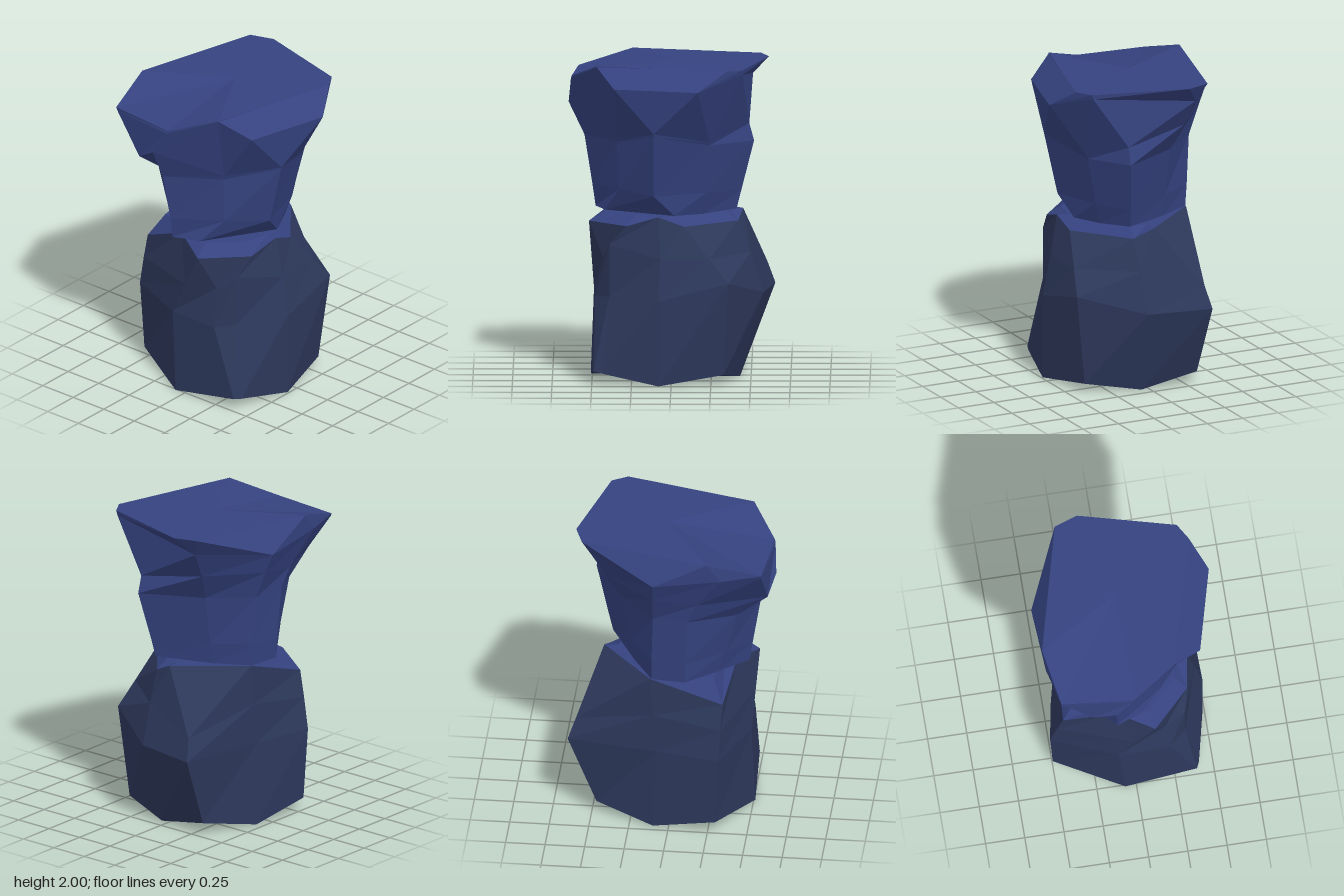
import * as THREE from 'three';

const upperStone = new THREE.MeshStandardMaterial({ color: 0x35427f });
upperStone.name = 'blue stone';
const lowerStone = new THREE.MeshStandardMaterial({ color: 0x2d385b });
lowerStone.name = 'slate stone';
upperStone.flatShading = lowerStone.flatShading = true;

// Faceted mesh from a list of corner points, three per face
function facets(name, points, material) {
  const geometry = new THREE.BufferGeometry();
  geometry.setAttribute('position', new THREE.Float32BufferAttribute(points.flat(), 3));
  geometry.computeVertexNormals();
  const mesh = new THREE.Mesh(geometry, material);
  mesh.name = name;
  return mesh;
}

// Joins successive rings (bottom to top, each running front, +x, back, -x)
function loft(rings) {
  const out = [];
  for (let r = 0; r < rings.length - 1; r++) {
    const a = rings[r], b = rings[r + 1];
    for (let i = 0; i < a.length; i++) {
      const j = (i + 1) % a.length;
      out.push(a[i], a[j], b[j], a[i], b[j], b[i]);
    }
  }
  return out;
}

// Closes a ring with a fan around a centre point
function fan(ring, centre, up) {
  return ring.flatMap((p, i) => {
    const q = ring[(i + 1) % ring.length];
    return up ? [p, q, centre] : [q, p, centre];
  });
}

export function createModel() {
  const group = new THREE.Group();
  group.name = 'rockPillar';

  // Lower boulder: chipped foot, bulging middle, recessed front corner, shoulder
  const lower = [
    [[-.07, 0, .51], [.39, .08, .49], [.41, .07, .44], [.49, 0, .08], [.4, .06, -.33],
      [.05, 0, -.43], [-.32, .08, -.47], [-.45, 0, -.1], [-.5, .08, .3]],
    [[-.11, .54, .49], [.22, .53, .48], [.33, .55, .39], [.49, .54, .08], [.47, .65, -.36],
      [.08, .54, -.58], [-.34, .54, -.65], [-.44, .54, -.08], [-.52, .54, .32]],
    [[0, .77, .505], [.2, .78, .43], [.33, .88, .39], [.44, .8, .07], [.43, .8, -.24],
      [.09, .8, -.5], [-.31, .68, -.6], [-.43, .8, -.1], [-.48, .74, .33]],
    [[-.11, 1.06, .4], [.12, 1, .52], [.36, 1, .28], [.39, 1.06, .08], [.38, 1, -.08],
      [.1, 1, -.42], [-.03, 1.06, -.45], [-.42, 1.06, -.12], [-.44, .91, .34]],
  ];
  const shoulder = lower[3];
  const ledge = shoulder.map(([x, , z]) => [x * .8, 1.06, z * .8]);
  group.add(facets('lowerBoulder',
    [...loft(lower), ...fan(lower[0], [0, 0, 0], false)], lowerStone));
  group.add(facets('lowerBoulderTop',
    [...loft([shoulder, ledge]), ...fan(ledge, [0, 1.06, 0], true)], upperStone));

  // Upper boulder: narrow waist with a notch under its front right corner
  const waist = [
    [[-.28, 1.06, .3], [-.12, 1.06, .48], [.05, 1.06, .42], [.32, 1.06, -.02], [.23, 1.06, -.2],
      [.12, 1.08, -.41], [-.2, 1.06, -.24], [-.42, 1.06, -.11], [-.44, 1.06, .1]],
    [[-.28, 1.2, .34], [-.12, 1.2, .5], [.18, 1.21, .33], [.37, 1.19, .11], [.27, 1.2, -.22],
      [.13, 1.2, -.44], [-.2, 1.2, -.26], [-.43, 1.2, -.11], [-.45, 1.2, .1]],
    [[-.285, 1.485, .42], [-.14, 1.51, .55], [.18, 1.51, .34], [.46, 1.58, .11], [.33, 1.51, -.24],
      [.17, 1.52, -.52], [-.21, 1.52, -.315], [-.45, 1.52, -.1], [-.47, 1.52, .12]],
  ];
  // Flared crown with a sloping front lip
  const crown = [
    [[-.285, 1.63, .61], [-.14, 1.72, .65], [.19, 1.54, .345], [.465, 1.6, .11], [.34, 1.53, -.24],
      [.17, 1.63, -.49], [-.26, 1.7, -.41], [-.52, 1.7, -.095], [-.49, 1.66, .18]],
    [[-.48, 1.88, .59], [-.04, 1.88, .635], [.25, 1.995, .47], [.43, 1.88, .36], [.57, 1.88, -.17],
      [.4, 1.97, -.45], [-.29, 1.88, -.51], [-.575, 1.83, -.09], [-.55, 1.88, .34]],
    [[-.49, 1.9, .59], [-.03, 1.9, .63], [.25, 2, .47], [.36, 2, .06], [.47, 2, -.35],
      [.41, 2, -.45], [-.2, 2, -.61], [-.35, 2, -.56], [-.56, 2, .25]],
  ];
  group.add(facets('upperBoulder', [
    ...loft([...waist, ...crown]),
    ...fan(waist[0], [0, 1.06, 0], false),
    ...fan(crown[2], [-.05, 2, -.05], true),
  ], upperStone));

  return group;
}
